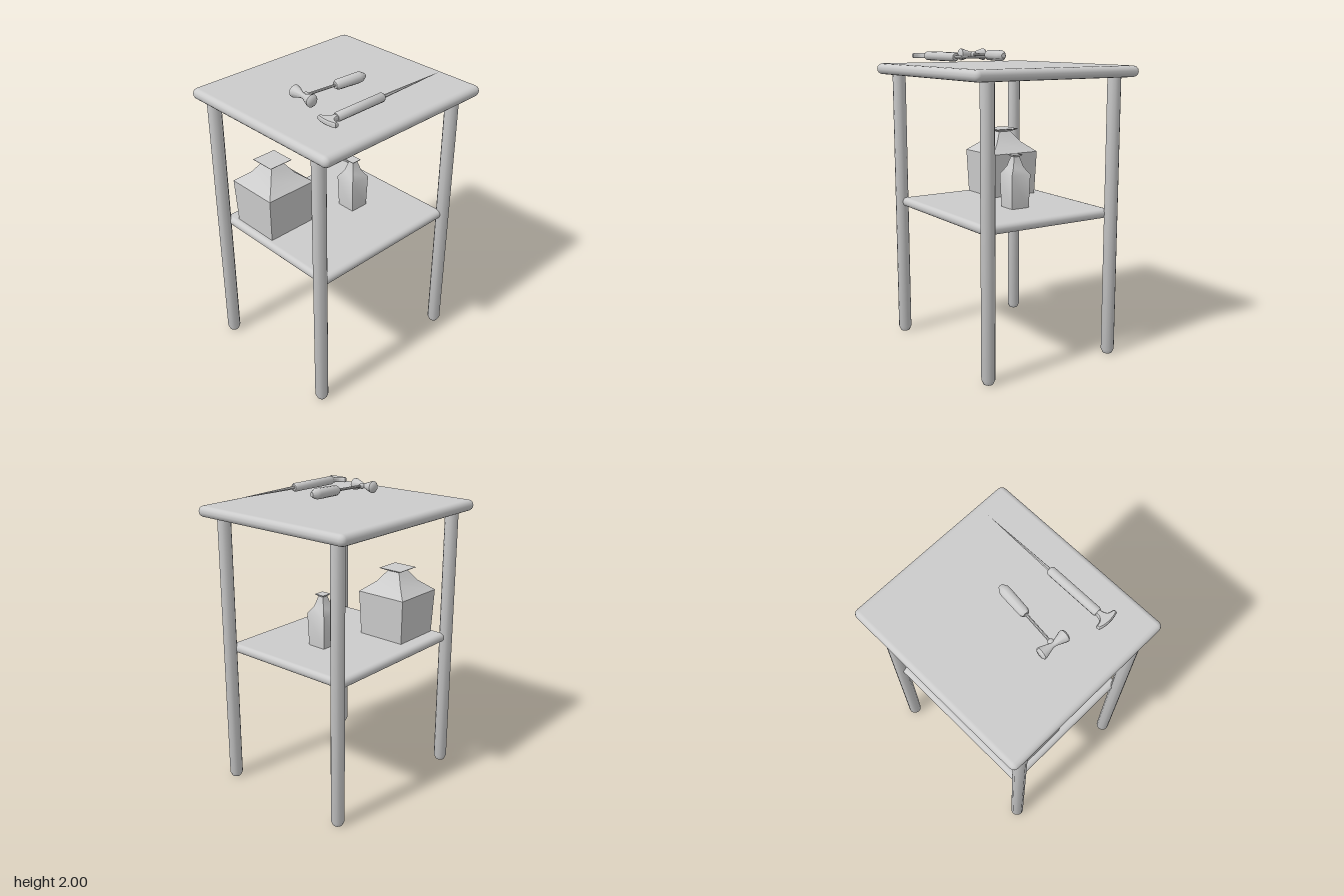
import * as THREE from 'three';
import { toCreasedNormals } from 'three/addons/utils/BufferGeometryUtils.js';
import { RoundedBoxGeometry } from 'three/addons/geometries/RoundedBoxGeometry.js';

const material = new THREE.MeshStandardMaterial({ color: 0xcccccc });

function add(parent, name, geometry, x = 0, y = 0, z = 0) {
  const mesh = new THREE.Mesh(geometry, material);
  mesh.name = name;
  mesh.position.set(x, y, z);
  parent.add(mesh);
  return mesh;
}

// Turned solid from [radius, height] pairs, listed bottom to top
function turned(profile, sides, start = 0, scale = 1) {
  const points = profile.map(([r, h]) => new THREE.Vector2(r * scale, h));
  return toCreasedNormals(new THREE.LatheGeometry(points, sides, start), 0.9);
}

// The same, lying along +x
const turnedX = (profile, sides) => turned(profile, sides).rotateZ(-Math.PI / 2);

// Square bottle from [half width, height] pairs
const squareBottle = (profile) => turned(profile, 4, Math.PI / 4, Math.SQRT2);

function createHammer() {
  const hammer = new THREE.Group();
  hammer.name = 'hammer';
  hammer.position.set(-0.312, 1.961, 0.046);
  hammer.rotation.y = -0.1;

  // Double-ended head, narrow at the waist
  const half = [[0.017, 0.012], [0.037, 0.07], [0.04, 0.085], [0.031, 0.095], [0, 0.097]];
  const profile = [...half.map(([r, h]) => [r, -h]).reverse(), ...half];
  add(hammer, 'hammerHead', turned(profile, 12).rotateX(Math.PI / 2));

  add(hammer, 'hammerSocket', new THREE.SphereGeometry(0.02, 10, 8), 0.02);
  add(hammer, 'hammerRod', turnedX([[0.009, 0], [0.009, 0.25]], 8));
  add(hammer, 'hammerGrip', turnedX([
    [0, 0.234], [0.022, 0.235], [0.033, 0.255], [0.036, 0.41], [0.034, 0.43], [0.015, 0.463], [0, 0.464],
  ], 10));
  return hammer;
}

function createPick() {
  const pick = new THREE.Group();
  pick.name = 'pick';
  pick.position.set(0, 1.955, 0.367);

  add(pick, 'pickGrip', turnedX([
    [0, -0.353], [0.024, -0.353], [0.029, -0.343], [0.029, 0.014], [0.022, 0.025], [0, 0.025],
  ], 12));
  add(pick, 'pickBlade', turnedX([[0.011, 0.02], [0.006, 0.28], [0, 0.53]], 6));

  // Curved crossbar with a flared neck, drawn in x and depth
  const shape = new THREE.Shape();
  shape.moveTo(-0.34, -0.018);
  shape.quadraticCurveTo(-0.395, -0.018, -0.4, -0.045);
  shape.lineTo(-0.407, -0.074);
  shape.lineTo(-0.429, -0.07);
  shape.quadraticCurveTo(-0.453, 0, -0.429, 0.074);
  shape.lineTo(-0.407, 0.074);
  shape.lineTo(-0.4, 0.045);
  shape.quadraticCurveTo(-0.395, 0.018, -0.34, 0.018);
  const bar = new THREE.ExtrudeGeometry(shape, {
    depth: 0.016, bevelThickness: 0.008, bevelSize: 0.006, bevelOffset: -0.006, bevelSegments: 1, curveSegments: 8,
  });
  bar.translate(0, 0, -0.008).rotateX(Math.PI / 2);
  add(pick, 'pickCrossbar', toCreasedNormals(bar, 0.9));
  return pick;
}

export function createModel() {
  const model = new THREE.Group();
  model.name = 'sideTable';

  add(model, 'tableTop', new RoundedBoxGeometry(1.312, 0.072, 1.208, 2, 0.035), 0, 1.866, 0);
  add(model, 'shelf', new RoundedBoxGeometry(1.1, 0.062, 0.97, 2, 0.03), -0.014, 0.949, -0.004);

  // Legs with bevelled feet
  const leg = turned([[0, 0], [0.031, 0], [0.044, 0.028], [0.044, 1.85]], 12);
  for (const x of [-0.58, 0.552]) {
    for (const z of [-0.476, 0.466]) add(model, 'leg', leg, x, 0, z);
  }

  // Bottles with flared lips
  add(model, 'largeBottle', squareBottle([
    [0, 0], [0.17, 0], [0.182, 0.3], [0.097, 0.37], [0.047, 0.44], [0.086, 0.457], [0.086, 0.46], [0, 0.46],
  ]), -0.355, 0.98, -0.217);
  add(model, 'smallBottle', squareBottle([
    [0, 0], [0.065, 0], [0.072, 0.22], [0.04, 0.268], [0.02, 0.335], [0.035, 0.347], [0.035, 0.35], [0, 0.35],
  ]), 0.149, 0.98, 0.003);

  model.add(createHammer(), createPick());
  return model;
}
